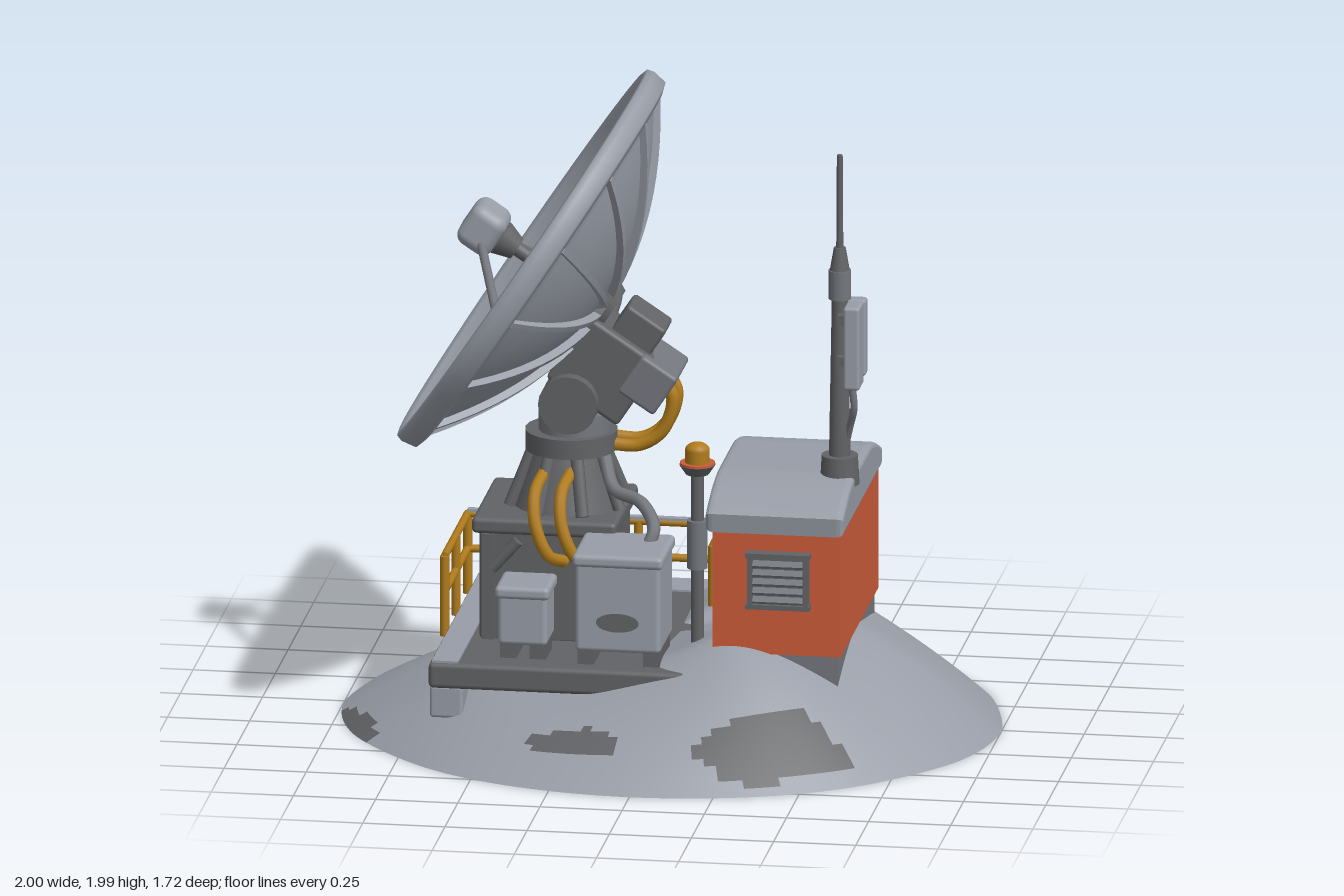
import * as THREE from 'three';
import { RoundedBoxGeometry } from 'three/addons/geometries/RoundedBoxGeometry.js';

const mat = (name, color) => Object.assign(new THREE.MeshStandardMaterial({ color, side: THREE.DoubleSide }), { name });

export function createModel() {
  const light = mat('pale grey', 0x989da7), dark = mat('dark grey', 0x626366), steel = mat('steel grey', 0x74777d);
  const orange = mat('orange paint', 0xcb5c3a), yellow = mat('ochre yellow', 0xb07c1c);
  const root = new THREE.Group();

  const add = (parent, name, geo, material, x = 0, y = 0, z = 0) => {
    const m = new THREE.Mesh(geo, material);
    m.name = name;
    m.position.set(x, y, z);
    parent.add(m);
    return m;
  };
  const group = (name, x = 0, y = 0, z = 0) => {
    const g = new THREE.Group();
    g.name = name;
    g.position.set(x, y, z);
    root.add(g);
    return g;
  };
  // Box given by its low and high limits on each axis
  const box = (p, name, m, x0, x1, y0, y1, z0, z1, r = 0) => {
    const s = [x1 - x0, y1 - y0, z1 - z0];
    const geo = r ? new RoundedBoxGeometry(...s, 3, r) : new THREE.BoxGeometry(...s);
    return add(p, name, geo, m, (x0 + x1) / 2, (y0 + y1) / 2, (z0 + z1) / 2);
  };
  const cyl = (p, name, m, r0, r1, y0, y1, x = 0, z = 0, n = 20) =>
    add(p, name, new THREE.CylinderGeometry(r1, r0, y1 - y0, n), m, x, (y0 + y1) / 2, z);
  const tube = (p, name, m, pts, r) => {
    const curve = new THREE.CatmullRomCurve3(pts.map(q => new THREE.Vector3(...q)));
    return add(p, name, new THREE.TubeGeometry(curve, pts.length * 6, r, 8), m);
  };
  const rod = (p, name, m, a, b, r) => {
    const A = new THREE.Vector3(...a), B = new THREE.Vector3(...b), d = B.clone().sub(A);
    const o = add(p, name, new THREE.CylinderGeometry(r, r, d.length(), 10), m);
    o.position.copy(A).add(B).multiplyScalar(0.5);
    o.quaternion.setFromUnitVectors(new THREE.Vector3(0, 1, 0), d.normalize());
    return o;
  };

  // Hollow mound with bare patches: x, z, half length, half width, turn
  const patches = [[0.4, 0.66, 0.23, 0.09, -0.38], [0.35, -0.65, 0.23, 0.1, 0.3],
    [-0.2, 0.68, 0.15, 0.045, 0.2], [-0.92, 0.29, 0.19, 0.04, 1.2]];
  const rings = 44, sides = 160, pos = [], faces = [[], []];
  for (let i = 0; i <= rings; i++) for (let j = 0; j < sides; j++) {
    const t = i / rings, a = j / sides * Math.PI * 2, c = Math.cos(a);
    const off = Math.acos(c) - 0.95;
    const crest = 0.01 + 0.07 * c + 0.07 * Math.exp(-off * off / 0.16) + 0.012 * Math.sin(5 * a + 1);
    const fall = 1 - Math.pow(Math.max(0, (t - 0.4) / 0.6), 1.6);
    const wave = 1 + 0.012 * Math.sin(7 * a) * t * c * c;
    pos.push(t * c * Math.min(1, wave), (0.265 + Math.min(1, t / 0.45) * crest) * fall, t * 0.86 * Math.sin(a) * wave);
  }
  const bare = (x, z) => patches.some(([px, pz, rx, rz, turn]) => {
    const dx = x - px, dz = z - pz, c = Math.cos(turn), s = Math.sin(turn);
    const u = (dx * c + dz * s) / rx, v = (dz * c - dx * s) / rz;
    return Math.hypot(u, v) < 1 + 0.1 * Math.sin(4 * Math.atan2(v, u));
  });
  for (let i = 0; i < rings; i++) for (let j = 0; j < sides; j++) {
    const k = (j + 1) % sides, a = i * sides + j, b = a + sides, d = i * sides + k, c = d + sides;
    const x = (pos[a * 3] + pos[c * 3]) / 2, z = (pos[a * 3 + 2] + pos[c * 3 + 2]) / 2;
    faces[bare(x, z) ? 1 : 0].push(a, d, b, b, d, c);
  }
  const land = new THREE.BufferGeometry();
  land.setAttribute('position', new THREE.Float32BufferAttribute(pos, 3));
  land.setIndex([...faces[0], ...faces[1]]);
  land.addGroup(0, faces[0].length, 0);
  land.addGroup(faces[0].length, faces[1].length, 1);
  land.computeVertexNormals();
  add(root, 'mound', land, [light, dark]);

  // Platform slab with pale edges and corner footings
  const deck = group('platform');
  box(deck, 'slab', dark, -0.67, 0.2, 0.2, 0.28, -0.49, 0.49, 0.015);
  box(deck, 'backEdge', light, -0.66, 0.18, 0.277, 0.286, -0.485, -0.36);
  box(deck, 'sideEdge', light, -0.66, -0.58, 0.277, 0.286, -0.36, 0.48);
  for (const z of [-0.4, 0.4]) box(deck, 'footing', light, -0.67, -0.57, 0.1, 0.2, z - 0.06, z + 0.06, 0.01);

  // Hand rail along the back and left edges of the platform
  const rail = group('handRail');
  for (const y of [0.39, 0.5]) {
    rod(rail, 'backRail', yellow, [-0.68, y, -0.35], [0.1, y, -0.35], 0.012);
    rod(rail, 'sideRail', yellow, [-0.68, y, -0.35], [-0.68, y, 0.1], 0.012);
    rod(rail, 'endRail', yellow, [0.1, y, -0.35], [0.1, y, -0.13], 0.012);
  }
  box(rail, 'backRailCap', light, -0.68, 0.1, 0.508, 0.516, -0.362, -0.338);
  for (const [x, z] of [[-0.68, -0.35], [-0.42, -0.35], [-0.16, -0.35], [0.1, -0.35], [-0.68, -0.12], [-0.68, 0.1], [0.1, -0.13]])
    rod(rail, 'railPost', yellow, [x, 0.25, z], [x, 0.5, z], 0.014);

  // Pedestal, tapered neck and turntable
  const ped = group('pedestal');
  box(ped, 'pedestalBody', dark, -0.56, -0.16, 0.27, 0.63, -0.2, 0.2, 0.015);
  box(ped, 'pedestalTop', dark, -0.58, -0.14, 0.61, 0.66, -0.22, 0.22, 0.015);
  for (const s of [-1, 1]) {
    for (const x of [-0.55, -0.21]) box(ped, 'cornerRib', dark, x, x + 0.04, 0.28, 0.61, s * 0.205 - 0.012, s * 0.205 + 0.012);
    rod(ped, 'brace', dark, [-0.52, 0.5, s * 0.205], [-0.44, 0.59, s * 0.205], 0.018);
  }
  cyl(ped, 'neck', dark, 0.17, 0.11, 0.66, 0.84, -0.32, 0, 16);
  for (let i = 0; i < 8; i++) {
    const a = i * Math.PI / 4 + 0.39, c = Math.cos(a), s = Math.sin(a);
    rod(ped, 'neckRib', dark, [-0.32 + 0.18 * c, 0.66, 0.18 * s], [-0.32 + 0.11 * c, 0.83, 0.11 * s], 0.02);
  }
  cyl(ped, 'turntable', dark, 0.14, 0.14, 0.83, 0.89, -0.31);
  cyl(ped, 'turntableCap', steel, 0.11, 0.11, 0.89, 0.95, -0.3);

  // Tilting head; its local y axis is the dish axis
  const tilt = 0.988;
  const head = group('tiltHead', -0.2, 1.1, 0);
  head.rotation.z = tilt;
  box(head, 'gearHousing', dark, -0.12, 0.12, -0.13, 0.13, -0.1, 0.1, 0.015);
  box(head, 'motorBlock', steel, -0.02, 0.12, -0.2, -0.07, -0.12, 0.12, 0.012);
  box(head, 'upperBlock', dark, 0.1, 0.21, -0.09, 0.05, -0.07, 0.07, 0.012);
  cyl(head, 'dishMount', steel, 0.09, 0.12, 0.1, 0.2, 0.12, 0);
  const axle = cyl(root, 'tiltAxle', dark, 0.09, 0.09, -0.14, 0.14, 0, 0);
  axle.rotation.x = Math.PI / 2;
  axle.position.set(-0.3, 1.0, 0);

  // Dish with rolled rim, rear ribs and feed
  const dish = group('dish', -0.46, 1.43, -0.01);
  dish.rotation.z = tilt;
  const bowl = r => -0.25 * (1 - (r / 0.65) ** 2);
  const steps = Array.from({ length: 13 }, (_, i) => i * 0.62 / 12);
  const profile = [...steps.map(r => [r, bowl(r) - 0.03]), [0.635, -0.075], [0.665, -0.065], [0.673, -0.02],
    [0.667, 0], [0.65, 0.005], [0.635, -0.008], ...steps.slice().reverse().map(r => [r, bowl(r)])];
  add(dish, 'reflector', new THREE.LatheGeometry(profile.map(q => new THREE.Vector2(...q)), 64), light);
  const ribShape = new THREE.Shape([
    ...steps.slice(1).map(r => new THREE.Vector2(r, bowl(r) - 0.02)),
    ...steps.slice(1).reverse().map(r => new THREE.Vector2(r, bowl(r) - 0.055))]);
  const ribGeo = new THREE.ExtrudeGeometry(ribShape, { depth: 0.018, bevelEnabled: false }).translate(0, 0, -0.009);
  for (let i = 0; i < 14; i++) add(dish, 'rearRib', ribGeo, light).rotation.y = (i + 0.5) * Math.PI / 7;
  cyl(dish, 'rearHub', dark, 0.08, 0.11, -0.32, -0.265);
  cyl(dish, 'centreFlange', dark, 0.06, 0.045, -0.25, -0.22);
  cyl(dish, 'feedStem', dark, 0.022, 0.022, -0.24, 0.08);
  cyl(dish, 'feedCollar', dark, 0.035, 0.055, 0.02, 0.08);
  add(dish, 'feedHorn', new RoundedBoxGeometry(0.14, 0.12, 0.15, 4, 0.035), light, 0, 0.14, 0);
  for (const s of [-1, 1]) rod(dish, 'feedStrut', steel, [-0.03, 0.12, s * 0.06], [-0.13, bowl(0.49), s * 0.47], 0.014);
  const onBack = ([u, z, off]) => [u, bowl(Math.hypot(u, z)) - off, z];
  tube(dish, 'rearCableStart', dark, [[-0.02, -0.06, 0.08], [0.0, -0.18, 0.08], [0.0, -0.3, 0.07]].map(onBack), 0.018);
  tube(dish, 'rearCable', yellow, [[0.0, -0.3, 0.07], [-0.04, -0.42, 0.07], [-0.15, -0.48, 0.07], [-0.25, -0.44, 0.06], [-0.31, -0.36, 0.04]].map(onBack), 0.02);

  // Cables between head, pedestal and cabinets
  const cables = group('cables');
  for (const z of [0.01, -0.07])
    tube(cables, 'headCable', yellow, [[-0.03, 1.06, z], [0, 1.0, z], [-0.03, 0.9, z], [-0.1, 0.85, z], [-0.2, 0.85, z]], 0.02);
  for (const x of [-0.39, -0.31])
    tube(cables, 'pedestalCable', yellow, [[x + 0.02, 0.79, 0.1], [x, 0.74, 0.2], [x + 0.01, 0.65, 0.25], [x + 0.05, 0.56, 0.25], [x + 0.09, 0.53, 0.2]], 0.019);
  tube(cables, 'cabinetCable', steel, [[-0.2, 0.82, 0.05], [-0.16, 0.74, 0.12], [-0.07, 0.72, 0.18], [-0.02, 0.66, 0.25], [-0.04, 0.6, 0.28]], 0.02);

  // Two equipment cabinets on feet
  const cabinet = (name, x0, x1, top, z0, z1) => {
    const g = group(name);
    box(g, 'cabinetBody', light, x0, x1, 0.325, top - 0.02, z0, z1, 0.015);
    box(g, 'cabinetLid', light, x0 - 0.008, x1 + 0.008, top - 0.04, top, z0 - 0.008, z1 + 0.008, 0.015);
    for (const x of [x0 + 0.03, x1 - 0.03]) box(g, 'cabinetFoot', dark, x - 0.025, x + 0.025, 0.275, 0.33, z0 + 0.02, z1 - 0.02);
    return g;
  };
  const big = cabinet('largeCabinet', -0.23, 0.03, 0.63, 0.2, 0.45);
  add(big, 'wornPatch', new THREE.CylinderGeometry(0.065, 0.065, 0.004, 24).rotateX(Math.PI / 2).scale(1, 0.45, 1), dark, -0.1, 0.42, 0.451);
  cabinet('smallCabinet', -0.47, -0.32, 0.51, 0.26, 0.42);

  // Hut with arched roof and louvred vent
  const hut = group('hut');
  box(hut, 'foundation', steel, 0.19, 0.56, 0.1, 0.33, -0.34, 0.38);
  box(hut, 'walls', orange, 0.18, 0.57, 0.325, 0.735, -0.35, 0.39);
  const roof = new THREE.Shape();
  roof.moveTo(-0.37, 0.72);
  roof.lineTo(0.37, 0.72);
  roof.lineTo(0.375, 0.755);
  roof.quadraticCurveTo(0.25, 0.815, 0.14, 0.82);
  roof.lineTo(-0.14, 0.82);
  roof.quadraticCurveTo(-0.25, 0.815, -0.375, 0.755);
  const roofGeo = new THREE.ExtrudeGeometry(roof, { depth: 0.38, bevelSize: 0.015, bevelThickness: 0.02, bevelSegments: 3, curveSegments: 10 });
  add(hut, 'roof', roofGeo.rotateY(Math.PI / 2), light, 0.18, 0, 0.02);
  box(hut, 'ventBack', dark, 0.29, 0.475, 0.48, 0.64, 0.38, 0.4);
  for (const x of [0.29, 0.46]) box(hut, 'ventFrame', dark, x, x + 0.015, 0.48, 0.645, 0.39, 0.425);
  for (const y of [0.475, 0.635]) box(hut, 'ventFrame', dark, 0.285, 0.48, y, y + 0.015, 0.39, 0.428);
  for (let i = 0; i < 5; i++) box(hut, 'ventSlat', steel, 0.3, 0.465, 0.497 + i * 0.028, 0.505 + i * 0.028, 0.395, 0.422).rotation.x = 0.5;

  // Antenna mast with two panels
  const mast = group('mast', 0.53, 0, 0.15);
  cyl(mast, 'mastBase', dark, 0.06, 0.055, 0.8, 0.89);
  cyl(mast, 'mastPole', dark, 0.033, 0.024, 0.88, 1.4);
  cyl(mast, 'mastSleeve', steel, 0.034, 0.034, 1.38, 1.47);
  cyl(mast, 'mastTip', dark, 0.03, 0.018, 1.47, 1.54);
  cyl(mast, 'whip', dark, 0.011, 0.009, 1.52, 1.83, 0, 0, 10);
  box(mast, 'outerPanel', light, 0.025, 0.075, 1.12, 1.38, 0.01, 0.1, 0.01);
  box(mast, 'sidePanel', light, -0.02, 0.07, 1.12, 1.36, -0.1, -0.055, 0.01);
  for (const y of [1.18, 1.31]) {
    box(mast, 'panelBracket', dark, 0, 0.03, y, y + 0.03, -0.02, 0.05);
    box(mast, 'panelBracket', dark, -0.015, 0.015, y, y + 0.03, -0.06, 0);
  }
  tube(mast, 'mastCable', steel, [[0.045, 1.13, 0.05], [0.05, 1.05, 0.045], [0.035, 0.99, 0.02], [0.02, 0.93, 0]], 0.011);

  // Beacon on a post
  const beacon = group('beacon', 0.12, 0, 0.3);
  cyl(beacon, 'beaconPost', dark, 0.02, 0.02, 0.26, 0.87);
  cyl(beacon, 'postSleeve', steel, 0.031, 0.031, 0.56, 0.71);
  cyl(beacon, 'beaconTray', dark, 0.035, 0.055, 0.855, 0.885);
  cyl(beacon, 'beaconRing', orange, 0.053, 0.053, 0.884, 0.892);
  cyl(beacon, 'beaconLamp', yellow, 0.037, 0.037, 0.89, 0.93);
  add(beacon, 'beaconDome', new THREE.SphereGeometry(0.037, 20, 8, 0, Math.PI * 2, 0, Math.PI / 2).scale(1, 0.65, 1), yellow, 0, 0.93, 0);
  return root;
}
